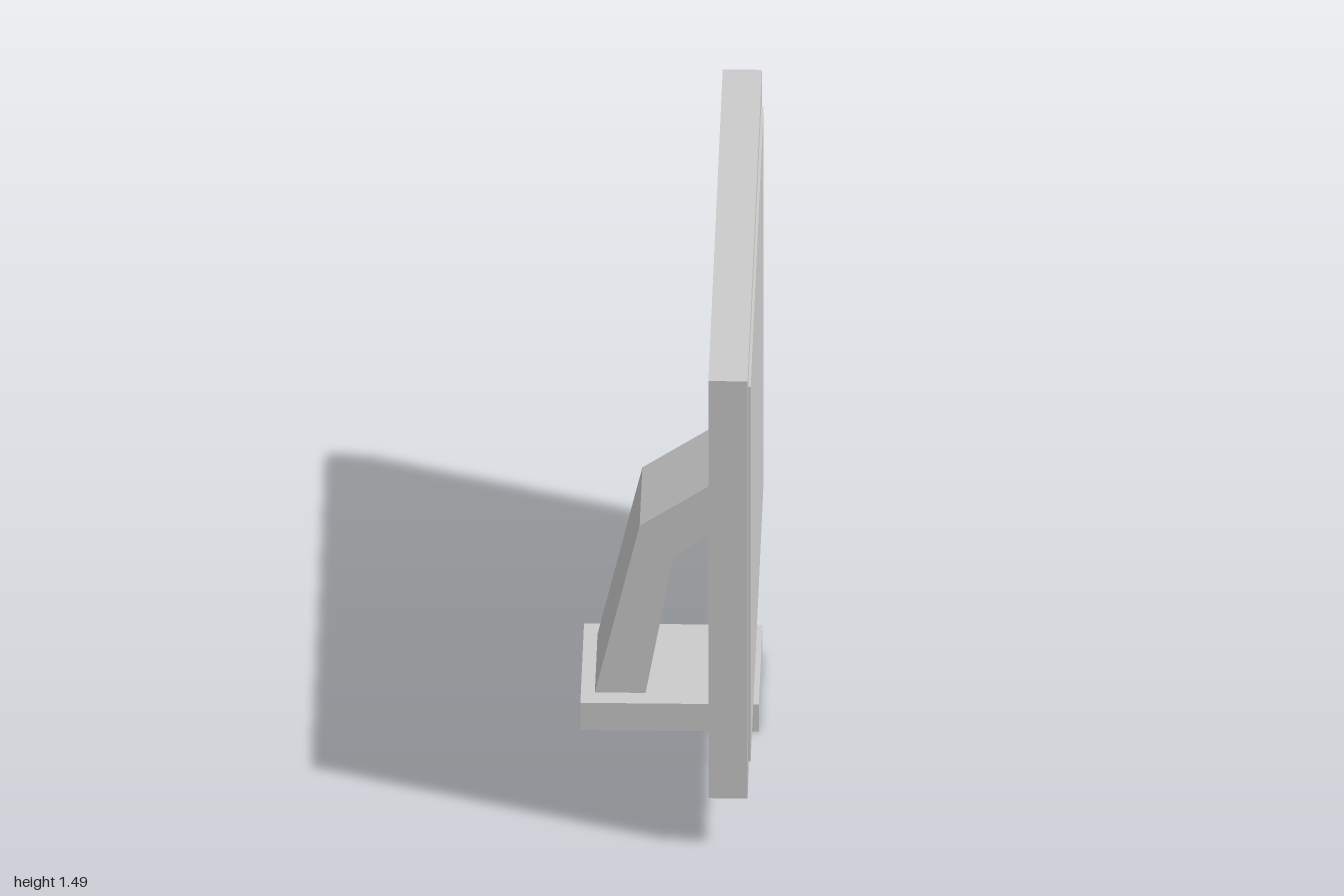
import * as THREE from 'three';

export function createModel() {
  const group = new THREE.Group();
  const material = new THREE.MeshStandardMaterial({ color: 0xcccccc, flatShading: true });

  const add = (name, geometry) => {
    const mesh = new THREE.Mesh(geometry, material);
    mesh.name = name;
    group.add(mesh);
    return mesh;
  };

  // Box given by its x and y ranges, centred on z = 0
  const block = (name, x0, x1, y0, y1, depth) =>
    add(name, new THREE.BoxGeometry(x1 - x0, y1 - y0, depth))
      .position.set((x0 + x1) / 2, (y0 + y1) / 2, 0);

  // Foot plate
  block('base', -0.255, 0.255, 0, 0.087, 0.51);

  // Monitor housing, facing +x, with a slightly raised screen
  block('housing', 0.126, 0.238, 0.157, 1.488, 2);
  block('screen', 0.23, 0.245, 0.225, 1.42, 1.8);

  // Bent arm: side profile extruded across z
  const profile = new THREE.Shape([
    [-0.215, 0.087], [-0.07, 0.087], [0.008, 0.512],
    [0.126, 0.615], [0.126, 0.758], [-0.087, 0.62],
  ].map(([x, y]) => new THREE.Vector2(x, y)));
  const armWidth = 0.375;
  add('arm', new THREE.ExtrudeGeometry(profile, { depth: armWidth, bevelEnabled: false }))
    .position.z = -armWidth / 2;

  return group;
}
